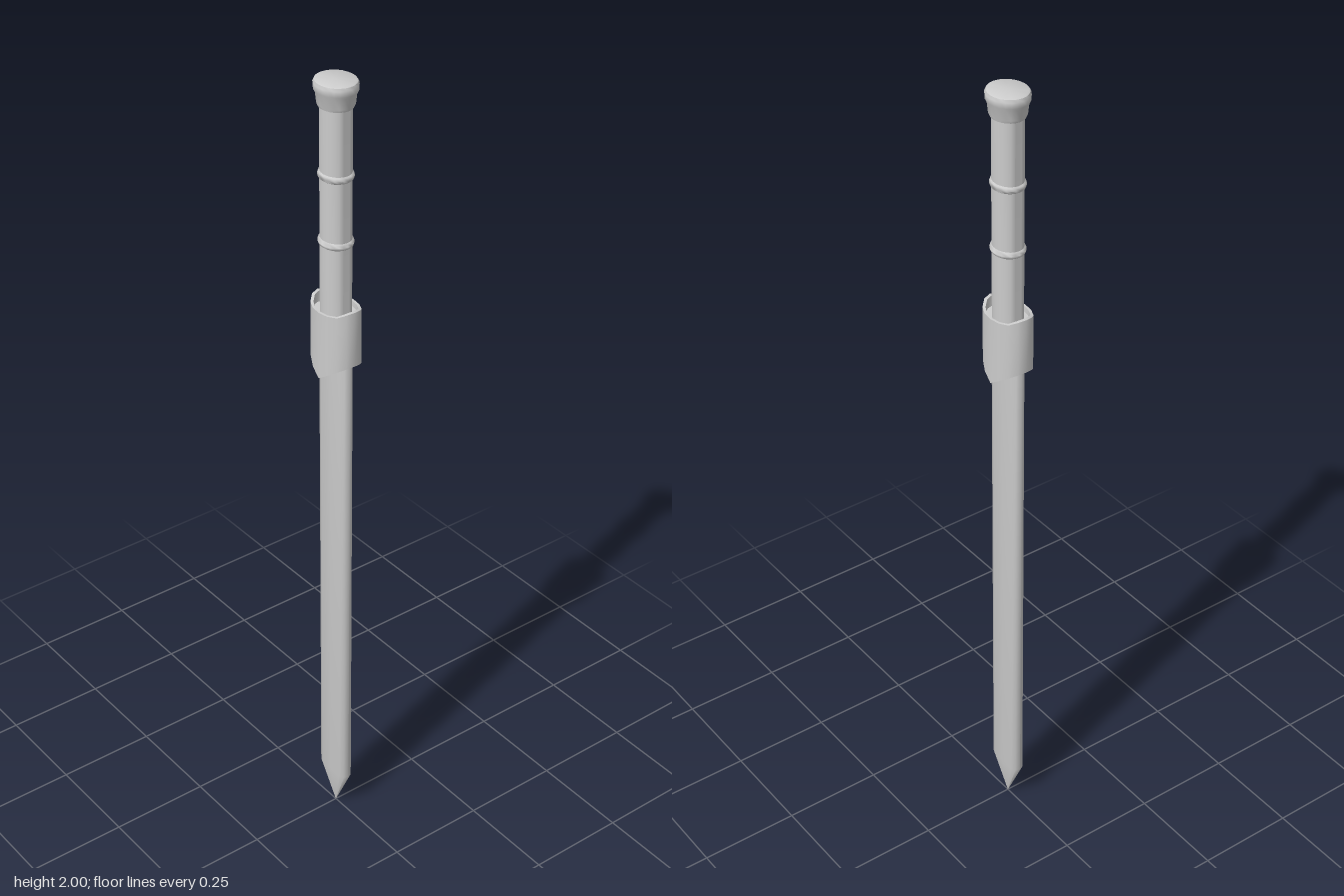
import * as THREE from 'three';
import { toCreasedNormals } from 'three/addons/utils/BufferGeometryUtils.js';

const material = new THREE.MeshStandardMaterial({ color: 0xcccccc });

function addMesh(group, name, geometry, crease = 0.6) {
  const mesh = new THREE.Mesh(toCreasedNormals(geometry, crease), material);
  mesh.name = name;
  group.add(mesh);
}

// Skins a stack of equal-length rings of [x, y, z], ordered from bottom to top
function loft(rings) {
  const n = rings[0].length;
  const index = [];
  for (let i = 0; i < rings.length - 1; i++) {
    for (let j = 0; j < n; j++) {
      const a = i * n + j, b = i * n + (j + 1) % n;
      index.push(a, a + n, b, b, a + n, b + n);
    }
  }
  const geometry = new THREE.BufferGeometry();
  geometry.setAttribute('position', new THREE.Float32BufferAttribute(rings.flat(2), 3));
  geometry.setIndex(index);
  return geometry;
}

// Turned profile of [radius, y], flattened slightly front to back
function turned(profile, zScale) {
  const points = profile.map(([r, y]) => new THREE.Vector2(r, y));
  return new THREE.LatheGeometry(points, 24).scale(1, 1, zScale);
}

export function createModel() {
  const group = new THREE.Group();
  group.name = 'sword';

  // Blade: flattened section, straight to the shoulder and then a point
  const section = [[0.052, 0], [0.047, 0.011], [0.035, 0.016], [0, 0.0175],
    [-0.035, 0.016], [-0.047, 0.011], [-0.052, 0], [-0.047, -0.011],
    [-0.035, -0.016], [0, -0.0175], [0.035, -0.016], [0.047, -0.011]];
  const bladeRing = (scale, y) => section.map(([x, z]) => [x * scale, y, z * scale]);
  addMesh(group, 'blade', loft([
    bladeRing(0.01, 0.005), bladeRing(1, 0.115), bladeRing(1, 1.4), bladeRing(0, 1.4),
  ]), 0.9);

  // Guard: oval collar, pointed lower edge front and back, raised ears at the sides
  const lower = (x) => 1.285 + 0.045 * Math.abs(x) / 0.068;
  const upper = (x) => 1.455 + 0.013 * Math.max(0, (Math.abs(x) - 0.045) / 0.023);
  const guardRing = (scale, height) => Array.from({ length: 16 }, (_, i) => {
    const t = i / 16 * Math.PI * 2;
    const x = 0.068 * Math.cos(t);
    return [x * scale, height(x), 0.049 * Math.sin(t) * scale];
  });
  const floor = () => 1.345, roof = () => 1.442;
  addMesh(group, 'guard', loft([
    guardRing(0, floor), guardRing(0.86, floor), guardRing(0.88, lower), guardRing(1, lower),
    guardRing(1, upper), guardRing(0.88, upper), guardRing(0.86, roof), guardRing(0, roof),
  ]));

  // Grip
  addMesh(group, 'grip', turned([[0.039, 1.4], [0.039, 1.95]], 0.87));

  // Raised bands around the grip
  for (const y of [1.62, 1.78]) {
    addMesh(group, 'gripBand', turned([
      [0.038, y - 0.009], [0.042, y - 0.006], [0.044, y], [0.042, y + 0.006], [0.038, y + 0.009],
    ], 0.88), 1.2);
  }

  // Pommel: flared cap with a softened upper rim
  addMesh(group, 'pommel', turned([
    [0, 1.94], [0.042, 1.94], [0.045, 1.947], [0.048, 1.972], [0.052, 1.978],
    [0.053, 1.992], [0.05, 1.998], [0.046, 2], [0, 2],
  ], 0.9));

  // Rest the tip on the ground
  group.children[0].geometry.translate(0, -0.005, 0);
  return group;
}
